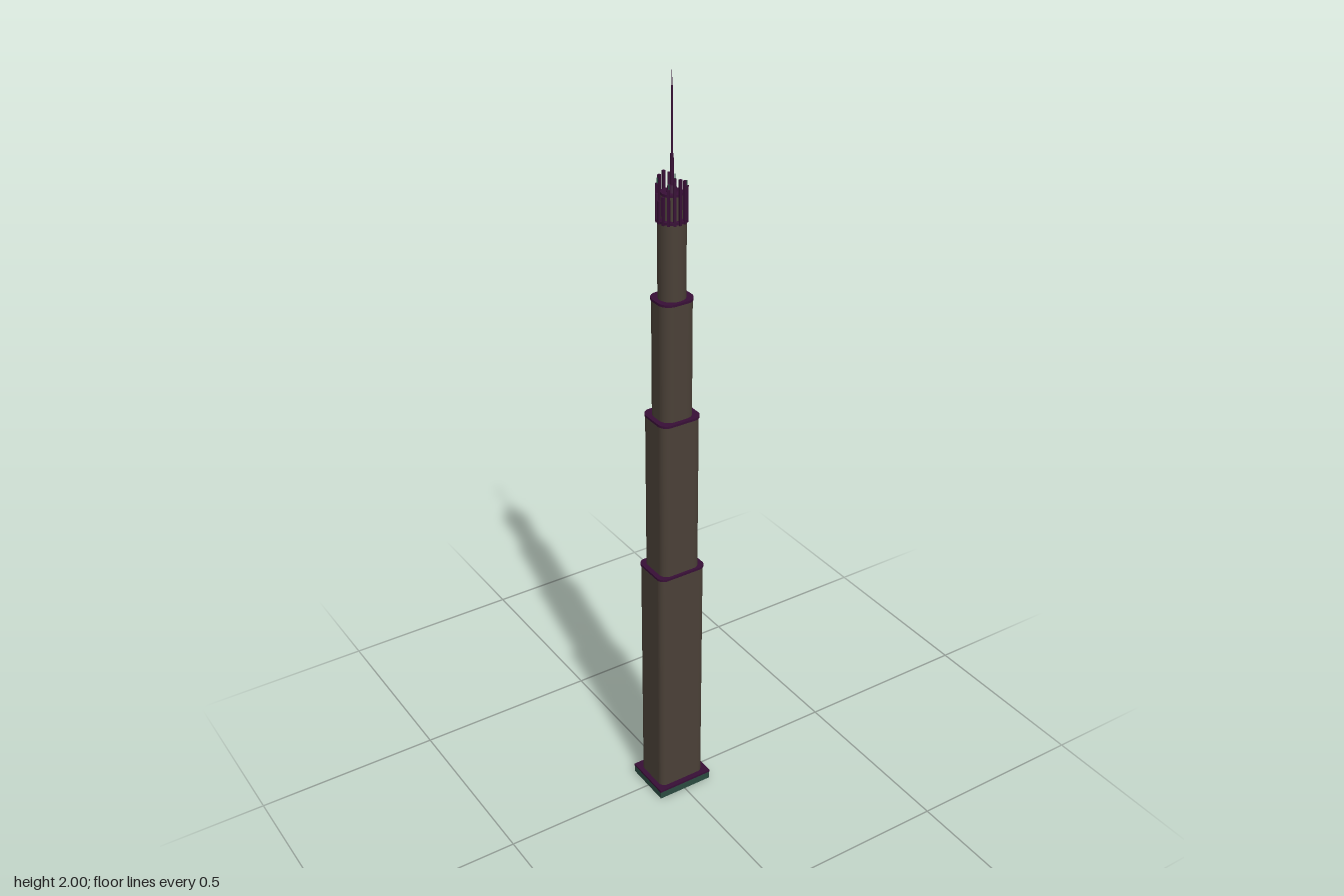
import * as THREE from 'three';

const mat = (name, color) => {
  const m = new THREE.MeshStandardMaterial({ color });
  m.name = name;
  return m;
};

// Rounded rectangle with half sizes a, b and corner radius r
function roundedRect(a, b, r) {
  const s = new THREE.Shape();
  s.moveTo(a, b - r);
  s.absarc(a - r, b - r, r, 0, Math.PI / 2);
  s.absarc(-a + r, b - r, r, Math.PI / 2, Math.PI);
  s.absarc(-a + r, -b + r, r, Math.PI, Math.PI * 1.5);
  s.absarc(a - r, -b + r, r, Math.PI * 1.5, Math.PI * 2);
  return s;
}

export function createModel() {
  const model = new THREE.Group();
  const facade = mat('brown facade', 0x4a4037);
  const trim = mat('dark purple trim', 0x380f36);
  const plinth = mat('dark green plinth', 0x2a4a40);

  const add = (name, geometry, material, x = 0, y = 0, z = 0, parent = model) => {
    const mesh = new THREE.Mesh(geometry, material);
    mesh.name = name;
    mesh.position.set(x, y, z);
    parent.add(mesh);
    return mesh;
  };
  const slab = (name, a, b, r, y0, y1, material) => {
    const g = new THREE.ExtrudeGeometry(roundedRect(a, b, r), { depth: y1 - y0, bevelEnabled: false, curveSegments: 10 });
    g.rotateX(-Math.PI / 2);
    return add(name, g, material, 0, y0, 0);
  };
  const rod = (name, r0, r1, y0, y1, material, x = 0, z = 0, parent = model) =>
    add(name, new THREE.CylinderGeometry(r1, r0, y1 - y0, 12), material, x, (y0 + y1) / 2, z, parent);

  // Base
  add('plinth', new THREE.BoxGeometry(0.158, 0.022, 0.134), plinth, 0, 0.013, 0);
  add('plinthUnderside', new THREE.BoxGeometry(0.134, 0.004, 0.11), trim, 0, 0.002, 0);
  add('plinthTop', new THREE.BoxGeometry(0.16, 0.006, 0.135), trim, 0, 0.026, 0);

  // Stacked tiers, each narrower and rounder, with a ledge on top
  const tiers = [
    [0.067, 0.054, 0.018, 0.028, 0.708],
    [0.056, 0.049, 0.022, 0.708, 1.146],
    [0.045, 0.04, 0.028, 1.146, 1.458],
    [0.034, 0.033, 0.0325, 1.458, 1.655],
  ];
  tiers.forEach(([a, b, r, y0, y1], i) => {
    slab('tier' + (i + 1), a, b, r, y0, y1 - 0.003, facade);
    slab('ledge' + (i + 1), a + 0.002, b + 0.002, r + 0.002, y1 - 0.003, y1 + 0.003, trim);
  });

  // Core inside the crown
  rod('crownCore', 0.026, 0.026, 1.655, 1.715, facade);
  rod('crownCoreRoof', 0.027, 0.027, 1.715, 1.721, trim);
  rod('mastFoot', 0.013, 0.01, 1.72, 1.738, trim);

  // Ring of upright fins, tallest at front and back
  const crown = new THREE.Group();
  crown.name = 'crown';
  model.add(crown);
  const count = 16;
  for (let i = 0; i < count; i++) {
    const t = (i / count) * Math.PI * 2;
    const top = 1.705 + 0.055 * Math.abs(Math.sin(t)) ** 1.5;
    const fin = add('crownFin', new THREE.BoxGeometry(0.006, top - 1.65, 0.006), trim,
      0.035 * Math.cos(t), (top + 1.65) / 2, 0.035 * Math.sin(t), crown);
    fin.rotation.y = -t;
  }
  for (const x of [-1, 1]) for (const z of [-1, 1])
    rod('crownRod', 0.0015, 0.0015, 1.655, 1.75, plinth, x * 0.024, z * 0.024, crown);

  // Mast and antenna
  rod('mast', 0.005, 0.004, 1.72, 1.81, trim);
  rod('antenna', 0.0025, 0.002, 1.81, 1.965, trim);
  rod('antennaTip', 0.001, 0.0005, 1.965, 2, trim);

  return model;
}
